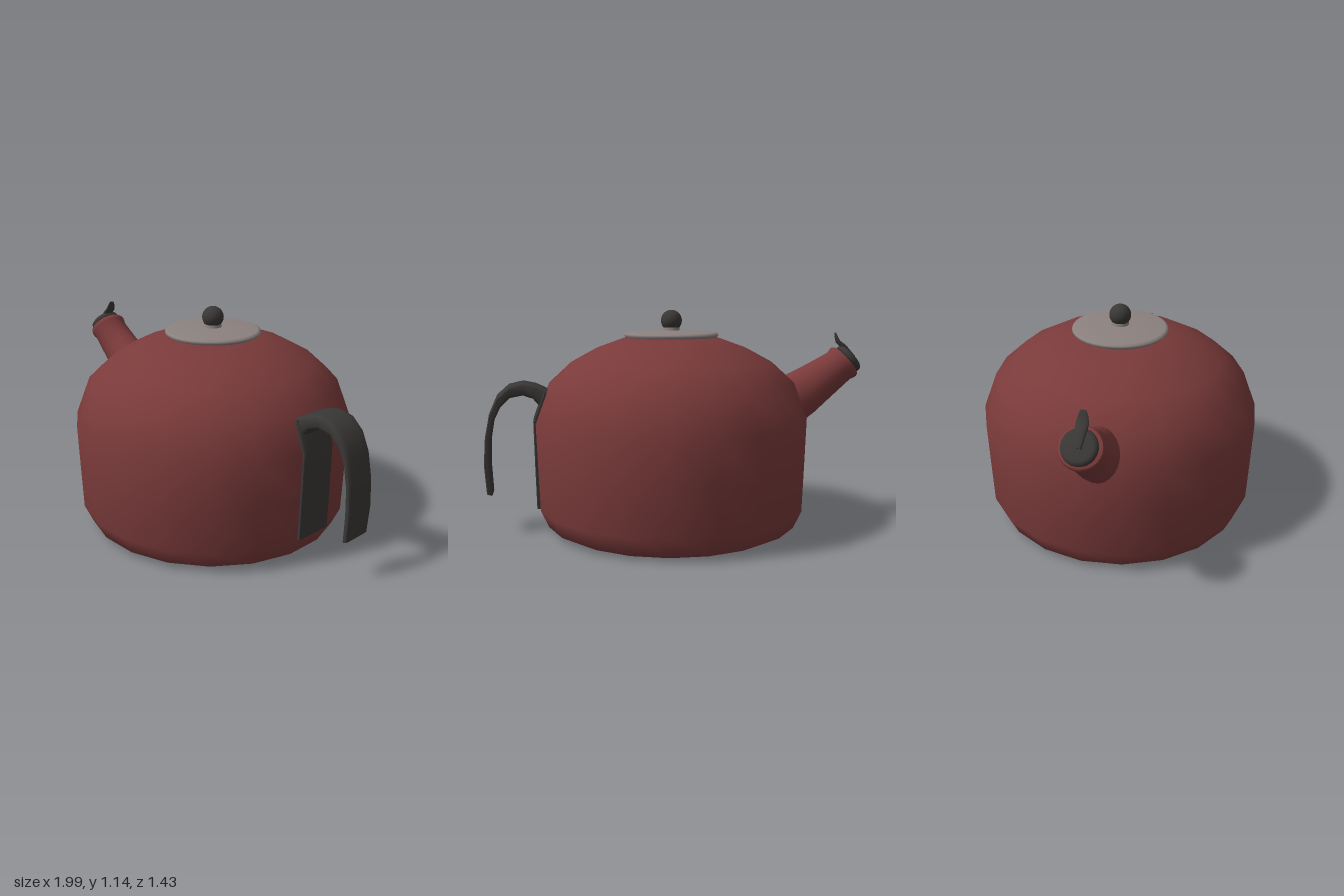
import * as THREE from 'three';
import { toCreasedNormals } from 'three/addons/utils/BufferGeometryUtils.js';

const paint = (color) => new THREE.MeshStandardMaterial({ color });
const red = paint(0x7a3a3a), dark = paint(0x3a3836), metal = paint(0x8c8280);

function add(parent, name, geometry, material) {
  const mesh = new THREE.Mesh(geometry, material);
  mesh.name = name;
  parent.add(mesh);
  return mesh;
}

// Loft through rows [topX, topY, bottomX, bottomY, halfWidthZ]; a power below 1 squares the section
function loft(rows, sides, power, crease) {
  const pos = [], index = [];
  const bend = (v) => Math.sign(v) * Math.pow(Math.abs(v), power);
  for (const [tx, ty, bx, by, w] of rows) {
    for (let j = 0; j < sides; j++) {
      const a = ((j + 0.5) / sides) * Math.PI * 2;
      const c = bend(Math.cos(a)) / 2, s = bend(Math.sin(a));
      pos.push((tx + bx) / 2 + (tx - bx) * c, (ty + by) / 2 + (ty - by) * c, w * s);
    }
  }
  const last = rows.length - 1;
  for (let i = 0; i < last; i++) {
    for (let j = 0; j < sides; j++) {
      const k = (j + 1) % sides;
      const a = i * sides + j, b = i * sides + k;
      index.push(a, a + sides, b, b, a + sides, b + sides);
    }
  }
  // end caps
  for (const i of [0, last]) {
    const [tx, ty, bx, by] = rows[i];
    const centre = pos.length / 3;
    pos.push((tx + bx) / 2, (ty + by) / 2, 0);
    for (let j = 0; j < sides; j++) {
      const a = i * sides + j, b = i * sides + ((j + 1) % sides);
      if (i === 0) index.push(centre, a, b);
      else index.push(centre, b, a);
    }
  }
  const g = new THREE.BufferGeometry();
  g.setAttribute('position', new THREE.Float32BufferAttribute(pos, 3));
  g.setIndex(index);
  return toCreasedNormals(g, crease);
}

const lathe = (points, sides, start = 0) =>
  new THREE.LatheGeometry(points.map(([r, y]) => new THREE.Vector2(r, y)), sides, start);

export function createModel() {
  const model = new THREE.Group();
  model.name = 'kettle';

  // vessel, lid and handle share a slightly turned axis
  const vessel = new THREE.Group();
  vessel.name = 'vessel';
  vessel.position.x = 0.015;
  vessel.rotation.y = 0.077;
  model.add(vessel);

  const half = Math.PI / 20;
  add(vessel, 'body', lathe([
    [0.6, 0], [0.66, 0.03], [0.702, 0.12], [0.71, 0.35], [0.717, 0.57],
    [0.645, 0.76], [0.525, 0.87], [0.388, 0.945], [0.23, 1.002], [0, 1.01],
  ], 20, half), red);
  const base = add(vessel, 'base', new THREE.CircleGeometry(0.6, 20, half), red);
  base.rotation.x = Math.PI / 2;

  // lid with neck and ball knob
  add(vessel, 'lid', lathe([
    [0, 0.995], [0.235, 0.998], [0.245, 1.008], [0.243, 1.018], [0.23, 1.025], [0.12, 1.033], [0, 1.036],
  ], 32), metal);
  add(vessel, 'knobNeck', new THREE.CylinderGeometry(0.04, 0.046, 0.04, 24), metal).position.y = 1.042;
  add(vessel, 'knob', new THREE.SphereGeometry(0.055, 24, 16), dark).position.y = 1.085;

  // handle, from the free end up and over to its root
  add(vessel, 'handle', loft([
    [0.966, 0.21, 0.936, 0.2, 0.08],
    [0.976, 0.36, 0.943, 0.34, 0.084],
    [0.966, 0.5, 0.94, 0.47, 0.084],
    [0.942, 0.62, 0.922, 0.575, 0.084],
    [0.902, 0.71, 0.886, 0.65, 0.084],
    [0.842, 0.763, 0.836, 0.7, 0.086],
    [0.77, 0.779, 0.77, 0.712, 0.088],
    [0.705, 0.765, 0.72, 0.695, 0.093],
    [0.62, 0.725, 0.64, 0.6, 0.098],
  ], 16, 0.4, 0.6), dark);

  // mounting strip lying on the body
  add(vessel, 'handlePlate', loft([
    [0.712, 0.13, 0.68, 0.13, 0.105],
    [0.717, 0.35, 0.68, 0.35, 0.105],
    [0.721, 0.58, 0.68, 0.56, 0.105],
    [0.665, 0.735, 0.61, 0.71, 0.102],
  ], 12, 0.2, 0.5), dark);

  // spout with a rolled lip
  const spout = new THREE.Group();
  spout.name = 'spout';
  spout.position.z = 0.042;
  model.add(spout);
  add(spout, 'spoutTube', loft([
    [-0.5, 0.74, -0.6, 0.45, 0.11],
    [-0.585, 0.782, -0.69, 0.535, 0.107],
    [-0.71, 0.845, -0.76, 0.59, 0.102],
    [-0.83, 0.91, -0.95, 0.768, 0.094],
    [-0.837, 0.923, -0.964, 0.773, 0.1],
    [-0.85, 0.936, -0.98, 0.783, 0.102],
    [-0.865, 0.938, -0.986, 0.796, 0.097],
    [-0.874, 0.932, -0.984, 0.805, 0.086],
  ], 24, 1, 0.7), red);

  // stopper and its thumb lever
  const stopper = add(spout, 'stopper', lathe([
    [0, -0.02], [0.078, -0.02], [0.083, 0], [0.08, 0.014], [0.065, 0.024], [0, 0.026],
  ], 24), dark);
  stopper.position.set(-0.94, 0.878, 0);
  stopper.rotation.z = 0.859;
  add(spout, 'thumbLever', loft([
    [-0.94, 0.865, -0.975, 0.893, 0.018],
    [-0.9, 0.935, -0.922, 0.952, 0.028],
    [-0.874, 0.962, -0.89, 0.974, 0.028],
    [-0.866, 0.99, -0.878, 0.995, 0.022],
    [-0.862, 1.014, -0.87, 1.016, 0.012],
  ], 12, 0.7, 0.8), dark);

  return model;
}
